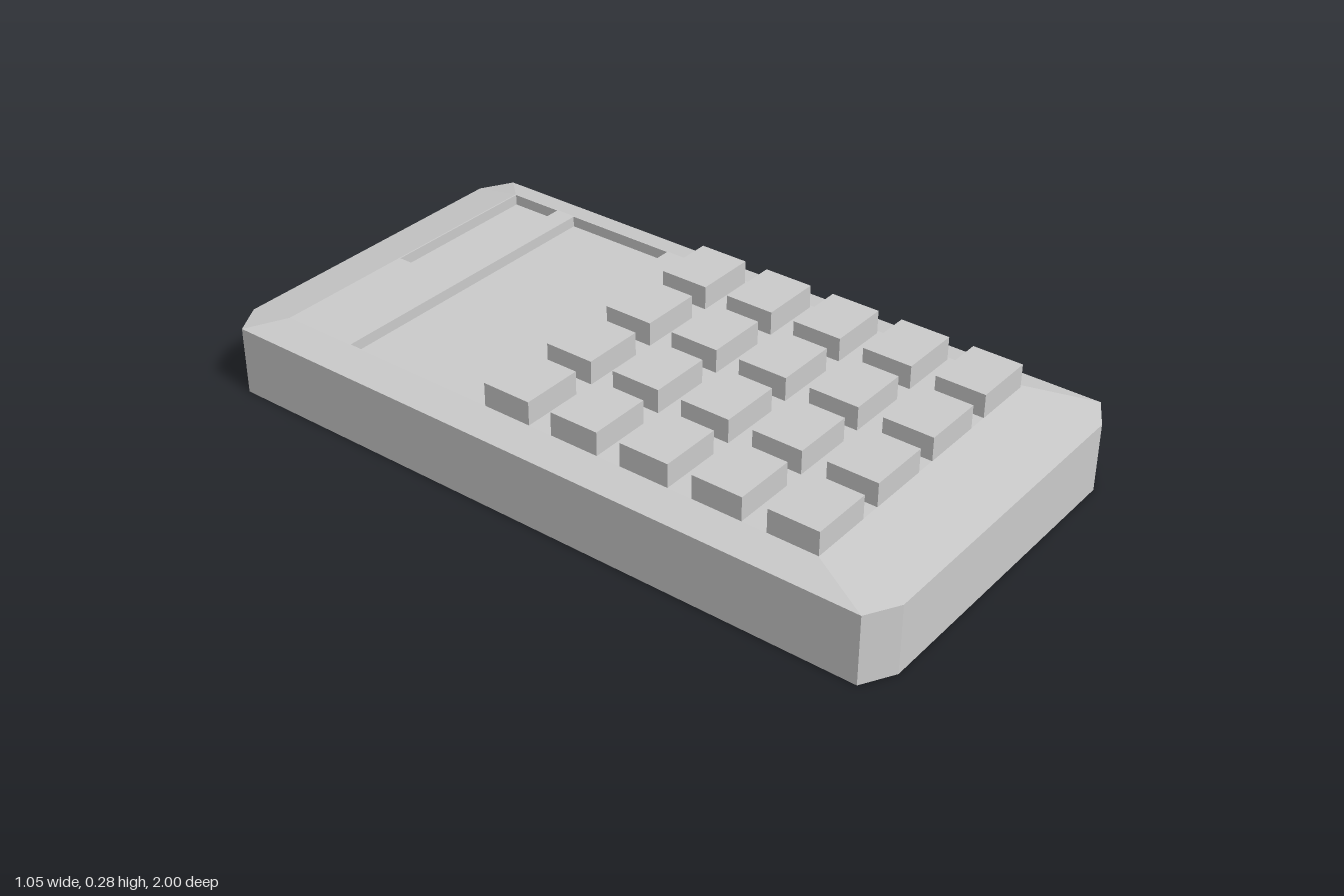
import * as THREE from 'three';

const material = new THREE.MeshStandardMaterial({ color: 0xcccccc, flatShading: true });
const TOP = 0.215, RIM = 0.19, FLOOR = 0.185;
const FACE = { x0: -0.438, x1: 0.438, z0: -0.862, z1: 0.78 };
const SCREEN = { x0: -0.435, x1: 0.435, z0: -0.645, z1: -0.315 };
const SOLAR = { x0: -0.035, x1: 0.435, z0: -0.858, z1: -0.705 };

// Joins rings of [x, y, z] points, each counter-clockwise seen from above
function loft(rings) {
  const positions = [];
  for (let r = 0; r < rings.length - 1; r++) {
    const low = rings[r], high = rings[r + 1], n = low.length;
    for (let i = 0; i < n; i++) {
      const j = (i + 1) % n;
      for (const tri of [[low[i], low[j], high[j]], [low[i], high[j], high[i]]]) {
        const t = new THREE.Triangle(...tri.map(p => new THREE.Vector3(...p)));
        if (t.getArea() > 1e-8) positions.push(...tri.flat());
      }
    }
  }
  const geometry = new THREE.BufferGeometry();
  geometry.setAttribute('position', new THREE.Float32BufferAttribute(positions, 3));
  geometry.computeVertexNormals();
  return geometry;
}

const corners = ({ x0, x1, z0, z1 }) => [[x1, z1], [x1, z0], [x0, z0], [x0, z1]];
const ring = (points, y) => points.map(([x, z]) => [x, y, z]);

function add(parent, name, geometry) {
  const mesh = new THREE.Mesh(geometry, material);
  mesh.name = name;
  parent.add(mesh);
  return mesh;
}

// Sunken tray: walls facing inward and a floor
function recess(rect) {
  const pts = corners(rect);
  const centre = pts.map(() => [(rect.x0 + rect.x1) / 2, (rect.z0 + rect.z1) / 2]);
  return loft([ring(pts, TOP), ring(pts, FLOOR), ring(centre, FLOOR)]);
}

export function createModel() {
  const model = new THREE.Group();
  model.name = 'calculator';

  // Case: chamfered outline with a sloping rim up to the rectangular face
  const outline = [
    [0.438, 1], [0.525, 0.95], [0.525, -0.95], [0.438, -1],
    [-0.438, -1], [-0.525, -0.95], [-0.525, 0.95], [-0.438, 1],
  ];
  const faceRing = corners(FACE).flatMap(p => [p, p]);
  add(model, 'caseShell', loft([
    ring(outline.map(() => [0, 0]), 0), ring(outline, 0), ring(outline, RIM), ring(faceRing, TOP),
  ]));

  // Flat face with openings for the display and the solar cell
  const toPoints = rect => corners(rect).map(([x, z]) => new THREE.Vector2(x, -z));
  const face = new THREE.Shape(toPoints(FACE));
  for (const rect of [SCREEN, SOLAR]) face.holes.push(new THREE.Path(toPoints(rect).reverse()));
  add(model, 'caseFace', new THREE.ShapeGeometry(face).rotateX(-Math.PI / 2).translate(0, TOP, 0));
  add(model, 'displayRecess', recess(SCREEN));
  add(model, 'solarCellRecess', recess(SOLAR));

  // Keypad: five rows of four keys
  const keypad = new THREE.Group();
  keypad.name = 'keypad';
  model.add(keypad);
  const keyGeometry = new THREE.BoxGeometry(0.174, 0.08, 0.139);
  for (let row = 0; row < 5; row++) {
    for (let col = 0; col < 4; col++) {
      add(keypad, `key${row + 1}_${col + 1}`, keyGeometry)
        .position.set(-0.35 + col * 0.2305, 0.24, -0.119 + row * 0.2075);
    }
  }
  return model;
}
